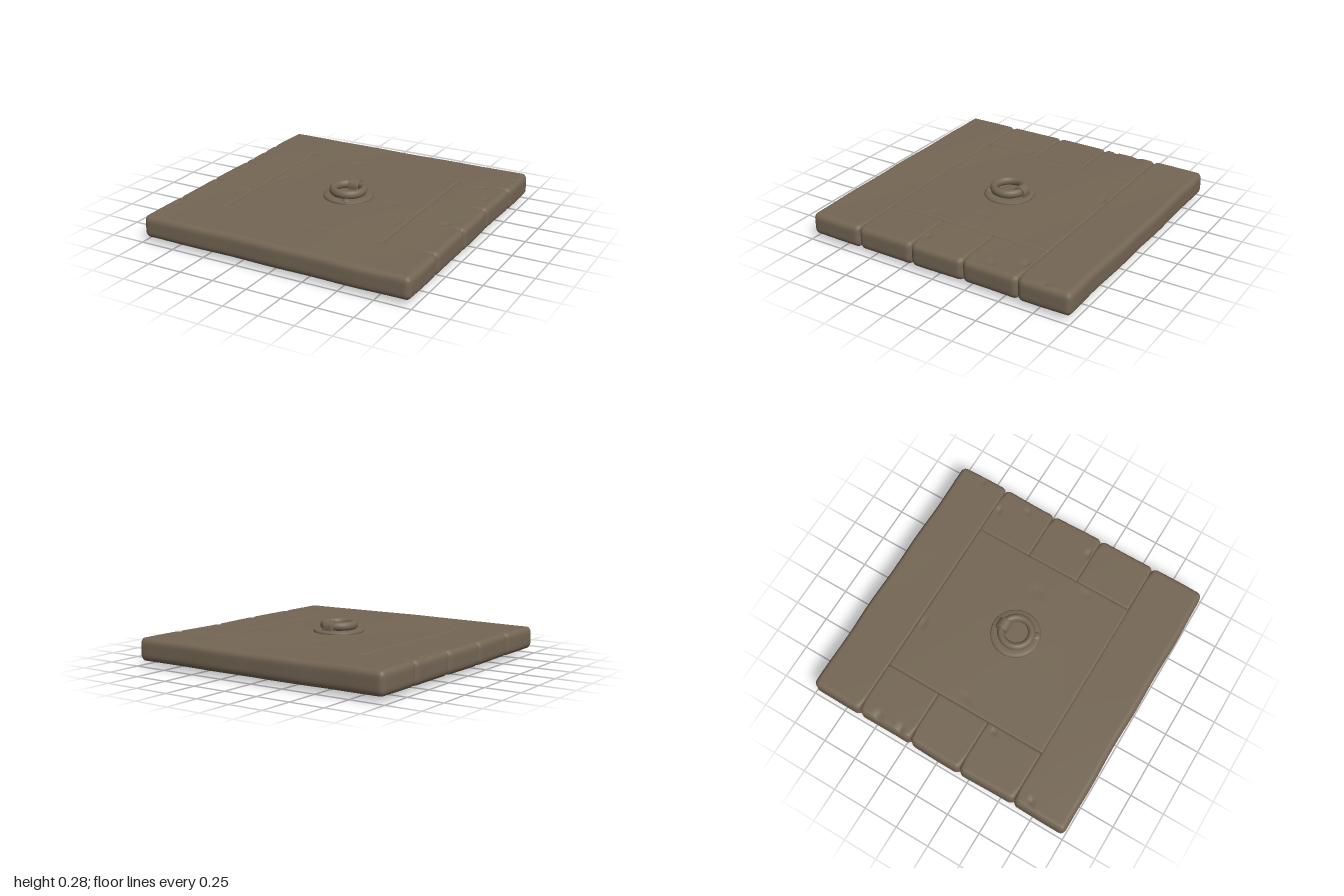
import * as THREE from 'three';
import { mergeVertices } from 'three/addons/utils/BufferGeometryUtils.js';

const stone = new THREE.MeshStandardMaterial({ color: 0x746654 });
stone.name = 'weatheredStone';

const HALF_X = 0.985, HALF_Z = 0.995, TOP = 0.197, BOTTOM = 0.04;

// chipped spots on the upper face: x, z, radius
const chips = [
  [-0.22, -0.58, 0.035], [-0.53, -0.03, 0.035], [0.39, -0.02, 0.04], [0.55, 0.28, 0.03],
  [0.8, -0.58, 0.035], [0.9, -0.39, 0.03], [0.83, 0.15, 0.035], [-0.95, -0.48, 0.04],
  [-0.95, -0.3, 0.035], [-0.92, 0.71, 0.03], [0.94, -0.8, 0.025], [-0.64, 0.25, 0.025],
];

// gentle hand-cut unevenness
const wave = (x, z) => Math.sin(x * 4.1 + z * 1.7) * 0.5 + Math.sin(x * 2.3 - z * 5.3 + 1) * 0.5;

// one stone block: soft edges, worn more at the outer rim, with a sagging underside
function block(name, x0, x1, z0, z1) {
  const size = [x1 - x0, TOP - BOTTOM, z1 - z0];
  const cx = (x0 + x1) / 2, cy = (TOP + BOTTOM) / 2, cz = (z0 + z1) / 2;
  const segments = (s) => Math.max(26, Math.round(s * 36));
  let geo = new THREE.BoxGeometry(2, 2, 2, segments(size[0]), 12, segments(size[2]));
  geo.deleteAttribute('uv');
  geo.deleteAttribute('normal');
  geo = mergeVertices(geo);
  const pos = geo.attributes.position;
  const p = new THREE.Vector3(), inner = new THREE.Vector3();
  // crowd the grid lines towards the edges
  const spread = (u) => 0.3 * u + 0.7 * Math.sin(u * Math.PI / 2);
  for (let i = 0; i < pos.count; i++) {
    p.fromBufferAttribute(pos, i);
    p.set(spread(p.x) * size[0] / 2, spread(p.y) * size[1] / 2, spread(p.z) * size[2] / 2);
    const rim = Math.min(HALF_X - Math.abs(p.x + cx), HALF_Z - Math.abs(p.z + cz));
    const r = 0.011 + 0.029 * Math.max(0, 1 - rim / 0.1);
    const lim = new THREE.Vector3(...size).multiplyScalar(0.5).subScalar(r);
    inner.copy(p).clamp(lim.clone().negate(), lim);
    p.sub(inner).setLength(Math.min(r, p.length() > 0 ? r : 0)).add(inner);
    const x = p.x + cx, z = p.z + cz;
    const t = THREE.MathUtils.clamp(p.y / size[1] + 0.5, 0, 1);
    const sag = 0.038 * Math.max(0, 1 - x * x) * Math.max(0, 1 - z * z);
    let y = p.y + cy - (1 - t) * sag + t * 0.003 * wave(x, z);
    if (t > 0.9) {
      for (const [a, b, radius] of chips) {
        const d = Math.hypot(x - a, (z - b) * 1.3) / radius;
        if (d < 1) y -= 0.012 * (1 - d * d);
      }
    }
    // outer side faces wander slightly
    const push = 0.005 * wave(z * 2 + 1, x * 2);
    pos.setXYZ(i,
      x + (Math.abs(x) > 0.9 ? Math.sign(x) * push : 0), y,
      z + (Math.abs(z) > 0.9 ? Math.sign(z) * push : 0));
  }
  geo.computeVertexNormals();
  return part(name, geo);
}

function part(name, geo, x = 0, y = 0, z = 0) {
  const mesh = new THREE.Mesh(geo, stone);
  mesh.name = name;
  mesh.position.set(x, y, z);
  return mesh;
}

function createHandle() {
  const handle = new THREE.Group();
  handle.name = 'ringHandle';
  handle.position.set(0.04, 0, 0.015);

  // base disc with a softened rim
  const profile = [[0, 0.19], [0.177, 0.19], [0.177, 0.207], [0.168, 0.215], [0.14, 0.218], [0, 0.218]]
    .map(([x, y]) => new THREE.Vector2(x, y));
  handle.add(part('basePlate', new THREE.LatheGeometry(profile, 48)));

  // pull ring lying on the disc
  const ring = part('pullRing', new THREE.TorusGeometry(0.107, 0.026, 16, 48), 0, 0.245, 0.005);
  ring.rotation.x = Math.PI / 2;
  ring.scale.z = 1.15;
  handle.add(ring);

  // staple arched over the back of the ring
  const arch = new THREE.Shape();
  arch.moveTo(-0.042, 0);
  arch.lineTo(-0.042, 0.035);
  arch.absarc(0, 0.035, 0.042, Math.PI, 0, true);
  arch.lineTo(0.042, 0);
  arch.closePath();
  const stapleGeo = new THREE.ExtrudeGeometry(arch, {
    depth: 0.062, bevelEnabled: true, bevelSize: 0.004, bevelThickness: 0.006, bevelSegments: 2, curveSegments: 14,
  });
  stapleGeo.translate(0, 0, -0.031);
  const staple = part('staple', stapleGeo, 0, 0.205, -0.098);
  staple.rotation.y = Math.PI / 2;
  handle.add(staple);

  // worn stud on the rim of the disc
  const stud = part('rimStud', new THREE.SphereGeometry(0.03, 16, 10), 0.055, 0.212, 0.135);
  stud.scale.y = 0.5;
  handle.add(stud);
  return handle;
}

export function createModel() {
  const model = new THREE.Group();
  model.name = 'stoneHatch';
  model.add(
    block('centrePanel', -0.6, 0.605, -0.62, 0.605),
    block('frontSlab', -HALF_X, HALF_X, 0.6, HALF_Z),
    block('backSlab', -HALF_X, HALF_X, -HALF_Z, -0.62),
  );
  // three blocks down each side
  const cuts = [-0.62, -0.213, 0.18, 0.6];
  for (let i = 0; i < 3; i++) {
    model.add(
      block('rightBlock' + (i + 1), -HALF_X, -0.6, cuts[i], cuts[i + 1]),
      block('leftBlock' + (i + 1), 0.605, HALF_X, cuts[i], cuts[i + 1]),
    );
  }
  model.add(createHandle());
  return model;
}
